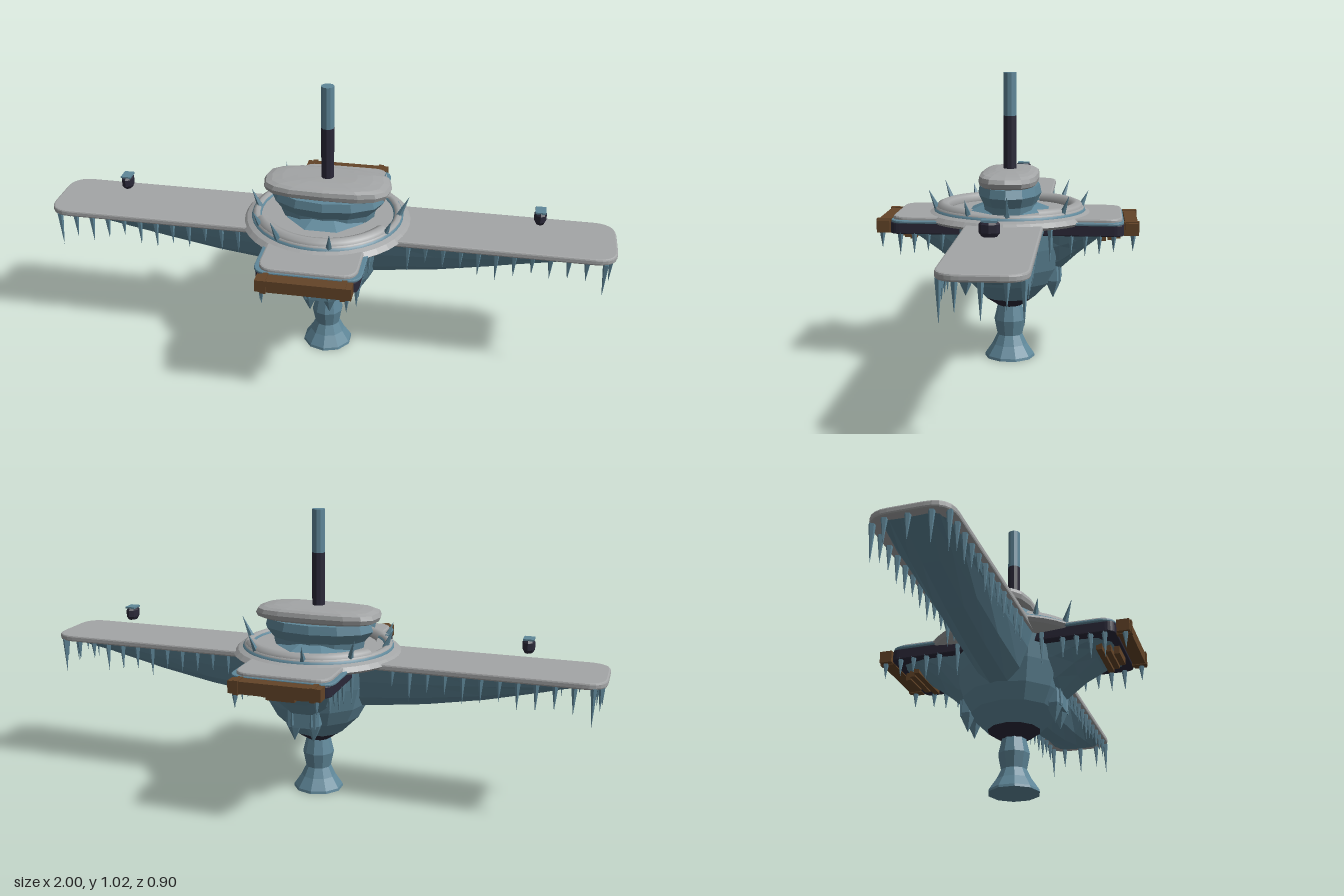
import * as THREE from 'three';

const material = (name, color) => {
  const m = new THREE.MeshStandardMaterial({ color });
  m.name = name;
  return m;
};

export function createModel() {
  const model = new THREE.Group();
  const ice = material('ice blue', 0x5f8799);
  const snow = material('snow grey', 0xa3a5a6);
  const dark = material('dark iron', 0x2a2838);
  const wood = material('brown wood', 0x634428);

  let seed = 7;
  const rand = () => (seed = (seed * 16807) % 2147483647) / 2147483647;

  const flat = (geo) => {
    const g = geo.index ? geo.toNonIndexed() : geo;
    g.computeVertexNormals();
    return g;
  };
  const add = (name, geo, mat, x = 0, y = 0, z = 0, parent = model) => {
    const m = new THREE.Mesh(geo, mat);
    m.name = name;
    m.position.set(x, y, z);
    parent.add(m);
    return m;
  };
  const lathe = (pts, sides) =>
    flat(new THREE.LatheGeometry(pts.map(([r, y]) => new THREE.Vector2(r, y)), sides));

  // Horizontal rounded slab from y0 to y1
  const slab = (name, hx, hz, r, y0, y1, mat, bevel = 0.006) => {
    const x = hx - bevel, z = hz - bevel, s = new THREE.Shape();
    s.moveTo(-x + r, -z);
    s.lineTo(x - r, -z).quadraticCurveTo(x, -z, x, -z + r);
    s.lineTo(x, z - r).quadraticCurveTo(x, z, x - r, z);
    s.lineTo(-x + r, z).quadraticCurveTo(-x, z, -x, z - r);
    s.lineTo(-x, -z + r).quadraticCurveTo(-x, -z, -x + r, -z);
    const g = new THREE.ExtrudeGeometry(s, {
      depth: y1 - y0 - 2 * bevel, bevelThickness: bevel, bevelSize: bevel, bevelSegments: 2, curveSegments: 6,
    });
    g.rotateX(-Math.PI / 2);
    return add(name, g, mat, 0, y0 + bevel, 0);
  };

  // Tapering keel along +x; each station is [x, half width, bottom y]
  const keel = (stations, top) => {
    const section = [[-1, 0], [-0.86, 0.35], [-0.6, 0.75], [-0.25, 1], [0.25, 1], [0.6, 0.75], [0.86, 0.35], [1, 0]];
    const pos = [], index = [], n = section.length;
    stations.forEach(([x, w, b], i) => {
      section.forEach(([u, v], j) => {
        pos.push(x, top + (b - top) * v, u * w);
        if (i && j) {
          const a = (i - 1) * n + j - 1, c = i * n + j - 1;
          index.push(a, c, a + 1, c, c + 1, a + 1);
        }
      });
    });
    const g = new THREE.BufferGeometry();
    g.setAttribute('position', new THREE.Float32BufferAttribute(pos, 3));
    g.setIndex(index);
    return flat(g);
  };

  // Foot, collar and hanging body
  add('foot', lathe([[0, 0.003], [0.09, 0.003], [0.088, 0.012], [0.062, 0.05], [0.045, 0.085], [0.056, 0.14],
    [0.042, 0.2], [0.04, 0.22]], 10), ice);
  add('collar', lathe([[0.035, 0.188], [0.092, 0.226]], 12), dark);
  add('body', lathe([[0.09, 0.225], [0.15, 0.285], [0.18, 0.34], [0.205, 0.42], [0.225, 0.51]], 12), ice);

  // Keels below the wings and the short arms
  const wingKeel = keel([[0.08, 0.125, 0.33], [0.2, 0.122, 0.343], [0.4, 0.118, 0.368], [0.6, 0.114, 0.404],
    [0.8, 0.11, 0.452], [0.97, 0.1, 0.5]], 0.507);
  const armKeel = keel([[0.08, 0.14, 0.28], [0.18, 0.145, 0.335], [0.24, 0.15, 0.39], [0.31, 0.15, 0.445],
    [0.385, 0.15, 0.478]], 0.485);
  for (const s of [0, 1]) {
    add('wingKeel', wingKeel, ice).rotation.y = s * Math.PI;
    add('armKeel', armKeel, ice).rotation.y = Math.PI / 2 + s * Math.PI;
  }

  // Decks
  slab('wingDeck', 1, 0.13, 0.07, 0.502, 0.525, snow);
  slab('armFrame', 0.172, 0.4, 0.03, 0.475, 0.514, dark, 0.003);
  slab('armIce', 0.18, 0.4, 0.05, 0.512, 0.522, ice, 0.003);
  slab('armDeck', 0.165, 0.395, 0.05, 0.515, 0.534, snow);
  add('roundDeck', lathe([[0.2, 0.5], [0.288, 0.508], [0.3, 0.518], [0.285, 0.533], [0.265, 0.541], [0, 0.541]], 40), snow);

  // Rim with snow banks at front and back
  const rim = new THREE.TorusGeometry(0.25, 0.021, 8, 40);
  rim.rotateX(Math.PI / 2);
  add('rim', rim, ice, 0, 0.532, 0);
  const snowRim = new THREE.TorusGeometry(0.25, 0.015, 8, 40);
  snowRim.rotateX(Math.PI / 2);
  add('rimSnow', snowRim, snow, 0, 0.542, 0);
  for (const s of [0, 1]) {
    const bank = new THREE.TorusGeometry(0.235, 0.026, 8, 24, 2.2);
    bank.rotateZ((Math.PI - 2.2) / 2);
    bank.rotateX(Math.PI / 2);
    add('snowBank', bank, snow, 0, 0.545, 0).rotation.y = s * Math.PI;
  }

  // Central ice block with a lumpy snow cap
  const block = lathe([[0.165, 0.535], [0.17, 0.565], [0.2, 0.6], [0.19, 0.63], [0, 0.63]], 12);
  block.scale(1, 1, 0.56);
  add('iceBlock', block, ice);
  const step = flat(new THREE.CylinderGeometry(0.1, 0.15, 0.02, 8));
  step.rotateY(Math.PI / 8);
  add('iceStep', step, ice, 0, 0.55, 0);
  const cap = new THREE.SphereGeometry(1, 16, 10);
  const p = cap.attributes.position;
  const squash = (v, e) => Math.sign(v) * Math.abs(v) ** e;
  for (let i = 0; i < p.count; i++) {
    const x = p.getX(i), y = p.getY(i), z = p.getZ(i);
    const lump = 1 + 0.05 * Math.sin(5 * x + 3 * z) * Math.cos(4 * z);
    p.setXYZ(i, 0.226 * squash(x, 0.65), 0.03 * squash(y, 0.6) * lump, 0.104 * squash(z, 0.65));
  }
  add('snowCap', flat(cap), snow, 0, 0.655, 0);

  // Mast
  add('mastLower', flat(new THREE.CylinderGeometry(0.0225, 0.0225, 0.25, 10)), dark, 0, 0.745, 0);
  add('mastUpper', flat(new THREE.CylinderGeometry(0.0225, 0.0225, 0.15, 10)), ice, 0, 0.945, 0);

  // Floating lanterns
  for (const s of [-1, 1]) {
    const lamp = lathe([[0, -0.024], [0.022, -0.024], [0.031, -0.012], [0.031, 0.012], [0.022, 0.023], [0, 0.023]], 8);
    lamp.scale(0.68, 1, 1);
    add('lantern', lamp, dark, s * 0.735, 0.6, 0);
    add('lanternTop', new THREE.BoxGeometry(0.036, 0.006, 0.046), ice, s * 0.735, 0.622, 0);
  }

  // Timber beams, brackets and pendants at both arm ends
  for (const s of [-1, 1]) {
    add('beam', new THREE.BoxGeometry(0.316, 0.042, 0.044), wood, 0, 0.498, s * 0.425);
    for (const x of [-0.13, 0.13])
      add('beamBand', new THREE.BoxGeometry(0.018, 0.048, 0.052), wood, x, 0.498, s * 0.425);
    [0.33, 0.355, 0.38].forEach((z, i) =>
      add('bracket', new THREE.BoxGeometry(0.2 - 0.05 * i, 0.03, 0.02), wood, 0, 0.462, s * z));
    for (const x of [-0.035, 0.035]) {
      const pendant = lathe([[0, -0.065], [0.024, -0.012], [0.029, 0], [0.026, 0.07], [0, 0.09]], 6);
      add('pendant', pendant, ice, x, 0.293, s * 0.156);
    }
    add('pendantBlock', new THREE.BoxGeometry(0.1, 0.07, 0.05), ice, 0, 0.32, s * 0.156);
  }

  // Spikes leaning outward from the rim
  const spikes = [[-0.03, -0.25], [0.16, -0.19], [0.25, -0.01], [0.22, 0.12], [0.05, 0.25], [-0.13, 0.22],
    [-0.21, 0.14], [-0.24, 0.01], [-0.17, -0.18]];
  const up = new THREE.Vector3(0, 1, 0);
  spikes.forEach(([x, z], i) => {
    const len = 0.065 + 0.012 * (i % 3);
    const g = new THREE.ConeGeometry(0.012, len, 5);
    g.translate(0, len / 2, 0);
    const spike = add('rimSpike', flat(g), ice, x, 0.545, z);
    spike.quaternion.setFromUnitVectors(up, new THREE.Vector3(x * 1.8, 1, z * 1.8).normalize());
  });

  // Icicles
  const icicles = new THREE.Group();
  icicles.name = 'icicles';
  model.add(icicles);
  const icicle = (x, top, z, len) => {
    const g = new THREE.ConeGeometry(0.011, len, 5);
    g.rotateX(Math.PI);
    add('icicle', flat(g), ice, x, top - len / 2, z, icicles);
  };
  for (const sx of [-1, 1]) {
    for (const sz of [-1, 1]) {
      for (let i = 0; i < 12; i++) {
        const x = 0.3 + 0.06 * i;
        icicle(sx * x, 0.505, sz * 0.115, (i === 11 ? 0.13 : 0.06 + 0.05 * rand()));
      }
      for (let i = 0; i < 4; i++) icicle(sx * 0.162, 0.48, sz * (0.22 + 0.048 * i), 0.05 + 0.05 * rand());
      icicle(sx * 0.14, 0.48, sz * 0.43, 0.06);
      icicle(sx * 0.17, 0.5, sz * 0.15, 0.12);
    }
    for (const z of [-0.07, 0, 0.07]) icicle(sx * 0.98, 0.505, z, 0.07 + 0.05 * rand());
  }
  return model;
}
